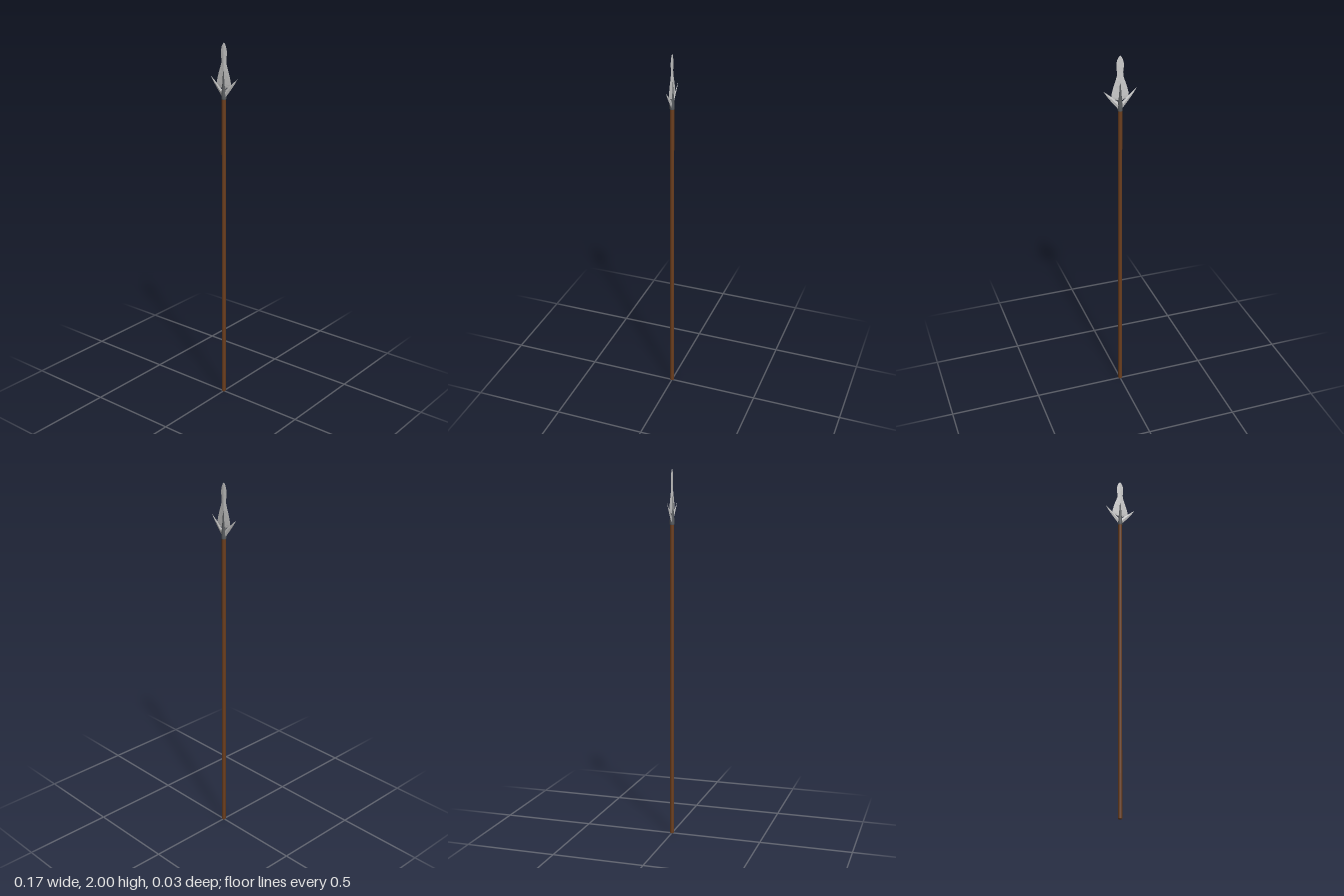
import * as THREE from 'three';

const steel = new THREE.MeshStandardMaterial({ color: 0xcccccc, flatShading: true });
const darkSteel = new THREE.MeshStandardMaterial({ color: 0x5a5d60 });
const wood = new THREE.MeshStandardMaterial({ color: 0x6b3e1e });

// Lofts diamond cross-sections [x, y, halfWidth, halfThickness] lying across direction (dx, dy)
function diamondLoft(sections, dx, dy) {
  const len = Math.hypot(dx, dy), wx = dy / len, wy = -dx / len;
  const rings = sections.map(([x, y, w, t]) => [
    [x + wx * w, y + wy * w, 0], [x, y, t],
    [x - wx * w, y - wy * w, 0], [x, y, -t],
  ]);
  const pos = [];
  const tri = (a, b, c) => pos.push(...a, ...b, ...c);
  for (let s = 0; s < rings.length - 1; s++) {
    for (let i = 0; i < 4; i++) {
      const j = (i + 1) % 4, lo = rings[s], up = rings[s + 1];
      tri(lo[i], up[i], up[j]);
      tri(lo[i], up[j], lo[j]);
    }
  }
  // end caps
  const a = rings[0], b = rings[rings.length - 1];
  tri(a[0], a[1], a[2]); tri(a[0], a[2], a[3]);
  tri(b[0], b[2], b[1]); tri(b[0], b[3], b[2]);
  const g = new THREE.BufferGeometry();
  g.setAttribute('position', new THREE.Float32BufferAttribute(pos, 3));
  g.computeVertexNormals();
  return g;
}

function lathe(profile, sides) {
  return new THREE.LatheGeometry(profile.map(([r, y]) => new THREE.Vector2(r, y)), sides);
}

function createModel() {
  const group = new THREE.Group();
  const add = (name, geometry, material) => {
    const mesh = new THREE.Mesh(geometry, material);
    mesh.name = name;
    group.add(mesh);
    return mesh;
  };

  // long wooden pole with a slightly eased butt
  add('shaft', lathe([[0, 0], [0.008, 0], [0.0112, 0.004], [0.0112, 1.73], [0, 1.73]], 16), wood);

  // socket gripping the pole and tapering into a central spine
  add('socket', lathe([
    [0.0112, 1.708], [0.0128, 1.712], [0.0128, 1.73], [0.0105, 1.76],
    [0.0075, 1.80], [0.0045, 1.85], [0, 1.905],
  ], 16), darkSteel);

  // waisted leaf blade
  add('blade', diamondLoft([
    [0, 1.765, 0.012, 0.004], [0, 1.777, 0.036, 0.004], [0, 1.788, 0.046, 0.004],
    [0, 1.80, 0.046, 0.004], [0, 1.82, 0.041, 0.004], [0, 1.845, 0.034, 0.004],
    [0, 1.87, 0.025, 0.004], [0, 1.895, 0.017, 0.0035], [0, 1.915, 0.0165, 0.003],
    [0, 1.94, 0.0195, 0.003], [0, 1.96, 0.0195, 0.0025], [0, 1.98, 0.0145, 0.002],
    [0, 1.993, 0.008, 0.0015], [0, 2.0, 0.001, 0.0005],
  ], 0, 1), steel);

  // pair of swept barbs rising from the socket
  for (const side of [0, 1]) {
    const barb = add(side ? 'rightBarb' : 'leftBarb', diamondLoft([
      [0.0, 1.728, 0.014, 0.005], [0.022, 1.752, 0.012, 0.004],
      [0.046, 1.777, 0.009, 0.003], [0.068, 1.80, 0.005, 0.002],
      [0.087, 1.822, 0.0006, 0.0005],
    ], 0.087, 0.094), steel);
    barb.rotation.y = side * Math.PI;
  }

  return group;
}

export { createModel };
